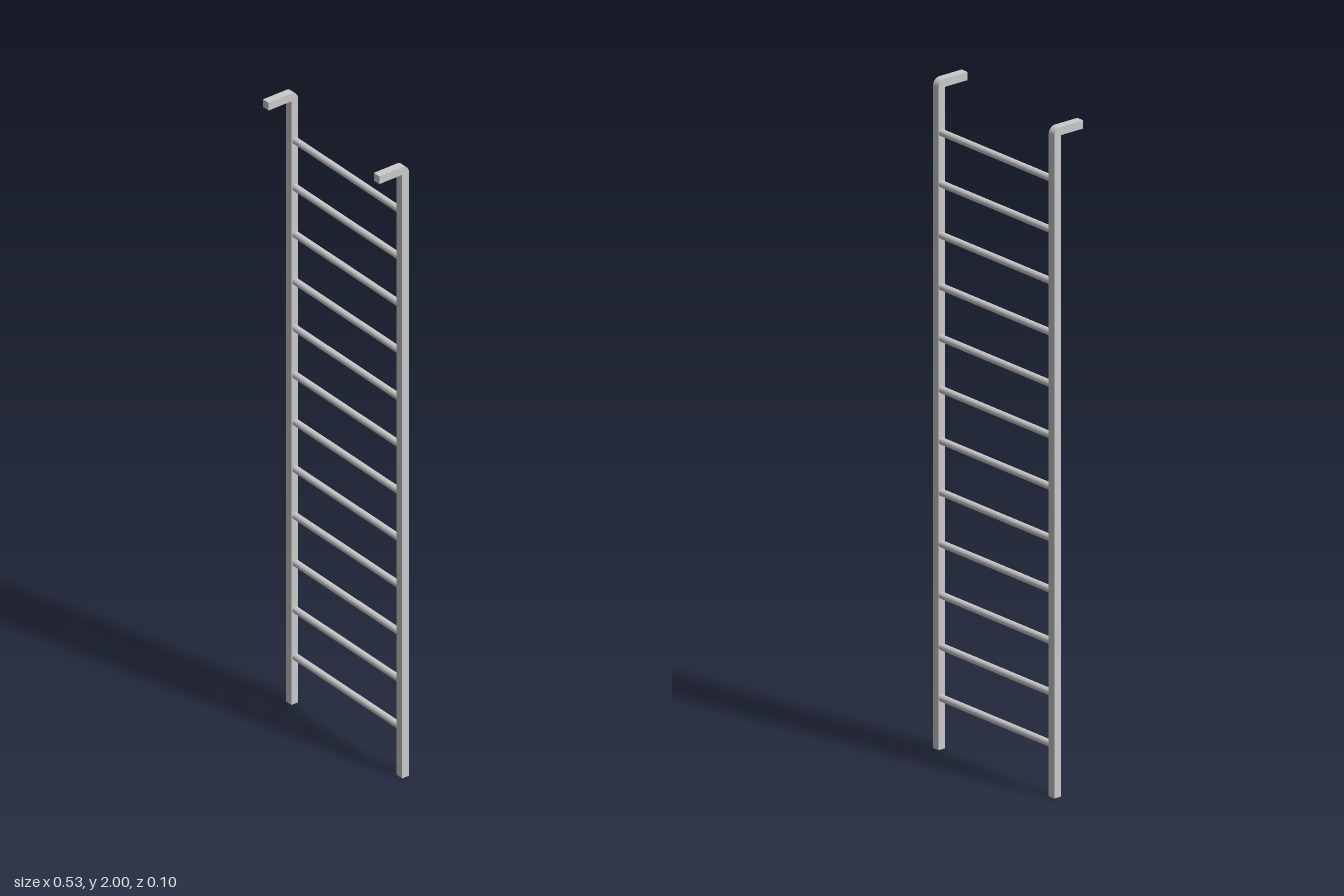
import * as THREE from 'three';

const HEIGHT = 2, BACK = -0.0525, FRONT = 0.0525;
const RAIL_WIDTH = 0.025, RAIL_DEPTH = 0.024, RAIL_X = 0.251;
const RUNGS = 12, RUNG_STEP = 0.1535, RUNG_RADIUS = 0.0103, RUNG_Z = -0.042;

export function createModel() {
  const model = new THREE.Group();
  model.name = 'hookLadder';
  const material = new THREE.MeshStandardMaterial({ color: 0xcccccc });

  // Side profile of a rail: upright bar bending forward into a hook, drawn as (z, y)
  const inner = BACK + RAIL_DEPTH;
  const profile = new THREE.Shape();
  profile.moveTo(BACK, 0);
  profile.lineTo(inner, 0);
  profile.lineTo(inner, HEIGHT - RAIL_WIDTH);
  profile.lineTo(FRONT, HEIGHT - RAIL_WIDTH);
  profile.lineTo(FRONT, HEIGHT);
  profile.lineTo(inner, HEIGHT);
  profile.absarc(inner, HEIGHT - RAIL_DEPTH, RAIL_DEPTH, Math.PI / 2, Math.PI, false);
  profile.lineTo(BACK, 0);
  const railGeometry = new THREE.ExtrudeGeometry(profile, {
    depth: RAIL_WIDTH, bevelEnabled: false, curveSegments: 10,
  });
  railGeometry.translate(0, 0, -RAIL_WIDTH / 2);
  railGeometry.rotateY(-Math.PI / 2); // profile z runs toward the front

  for (const [name, side] of [['leftRail', 1], ['rightRail', -1]]) {
    const rail = new THREE.Mesh(railGeometry, material);
    rail.name = name;
    rail.position.x = side * RAIL_X;
    model.add(rail);
  }

  // Round rungs, evenly spaced between the rails
  const rungGeometry = new THREE.CylinderGeometry(
    RUNG_RADIUS, RUNG_RADIUS, 2 * RAIL_X - RAIL_WIDTH, 24, 1, true);
  rungGeometry.rotateZ(Math.PI / 2);
  for (let i = 1; i <= RUNGS; i++) {
    const rung = new THREE.Mesh(rungGeometry, material);
    rung.name = `rung${i}`;
    rung.position.set(0, i * RUNG_STEP, RUNG_Z);
    model.add(rung);
  }
  return model;
}
